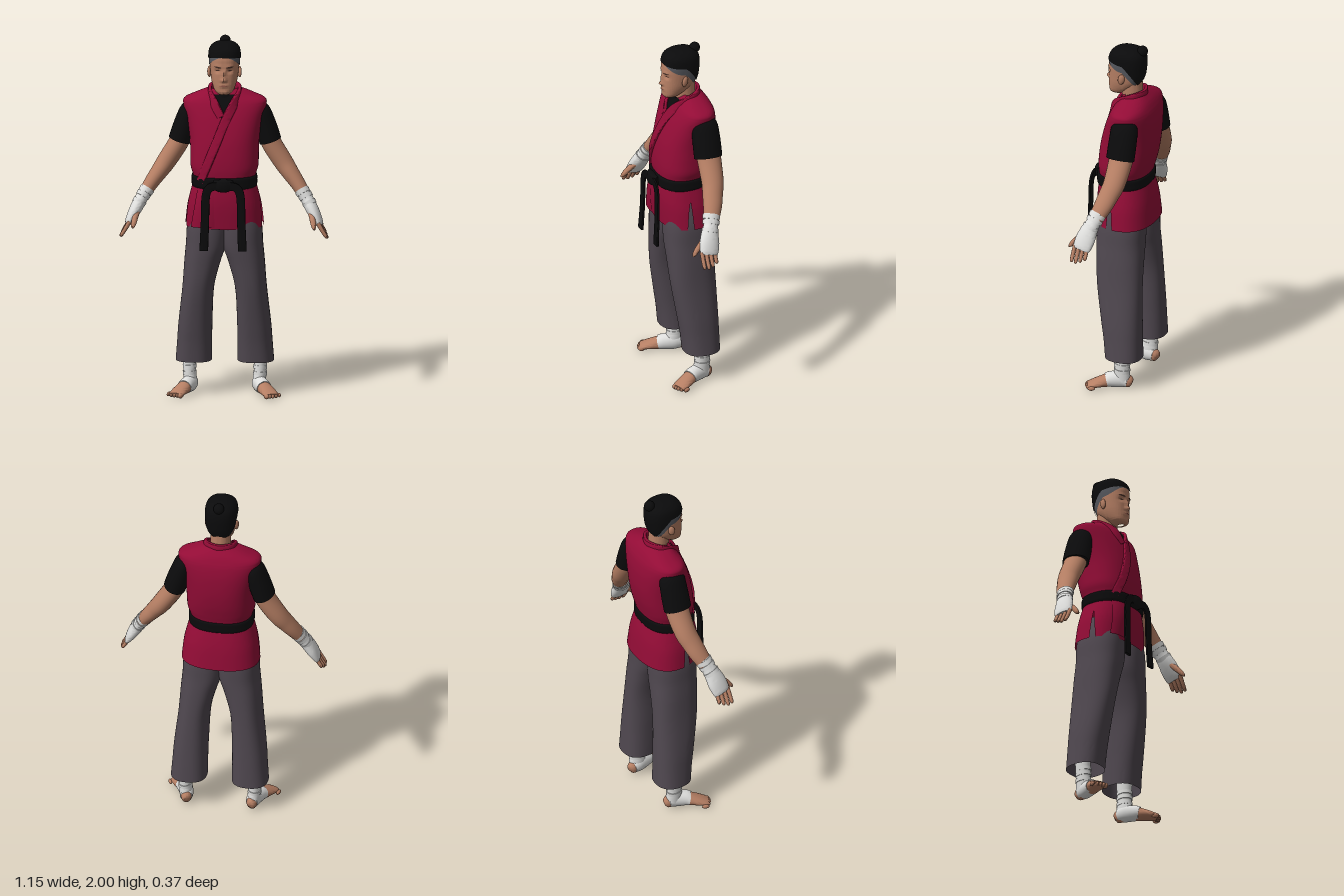
import * as THREE from 'three';
import { toCreasedNormals } from 'three/addons/utils/BufferGeometryUtils.js';

const V = (x, y, z) => new THREE.Vector3(x, y, z);
const lerp = THREE.MathUtils.lerp, clamp = THREE.MathUtils.clamp;
const mat = (name, color, side = THREE.FrontSide) =>
  Object.assign(new THREE.MeshStandardMaterial({ color, side }), { name });

// Smooth interpolation through rows of numbers, t in 0..1
function mix(rows, t) {
  const n = rows.length - 1, f = clamp(t, 0, 1) * n, i = Math.min(Math.floor(f), n - 1), k = f - i;
  const at = j => rows[clamp(j, 0, n)];
  return rows[0].map((_, c) => {
    const a = at(i - 1)[c], b = at(i)[c], d = at(i + 1)[c], e = at(i + 2)[c];
    return b + 0.5 * k * (d - a + k * (2 * a - 5 * b + 4 * d - e + k * (3 * (b - d) + e - a)));
  });
}

// Grid surface from a function of (u, v)
function grid(fn, nu, nv, crease = 1) {
  const g = new THREE.PlaneGeometry(1, 1, nu, nv), pos = g.attributes.position;
  for (let j = 0; j <= nv; j++) for (let i = 0; i <= nu; i++) {
    const p = fn(i / nu, j / nv, j);
    pos.setXYZ(j * (nu + 1) + i, p.x, p.y, p.z);
  }
  return toCreasedNormals(g, crease);
}

const pw = (a, p) => Math.sign(a) * Math.abs(a) ** (2 / p);

// Horizontal section point; row = [y, half width, front z, back z, centre x]
function ring([y, rx, zf, zb, cx = 0], a, p) {
  return V(cx + rx * pw(Math.cos(a), p), y, (zf + zb) / 2 + (zf - zb) / 2 * pw(Math.sin(a), p));
}

// Upright body from horizontal sections
function loft(rows, { p = 2.4, n = 48, m = 32, arc = () => [0, Math.PI * 2], mod = q => q } = {}) {
  return grid((u, v) => {
    const [a, b] = arc(v);
    return mod(ring(mix(rows, v), lerp(a, b, u), p));
  }, n, m);
}

// Parameter of a loft at height y, and its front depth at (x, y)
function paramAt(rows, y) {
  let a = 0, b = 1;
  for (let i = 0; i < 24; i++) { const c = (a + b) / 2; if (mix(rows, c)[0] < y) a = c; else b = c; }
  return a;
}
function frontZ(rows, x, y, p = 2.4) {
  const [, rx, zf, zb] = mix(rows, paramAt(rows, y));
  return (zf + zb) / 2 + (zf - zb) / 2 * Math.max(0, 1 - Math.abs(x / rx) ** p) ** (1 / p);
}

// Capped limb along a path; row = [x, y, z, radius along ref, radius across]
function sweep(rows, { ref = () => V(0, 0, 1), p = 2, n = 24, m = 24 } = {}) {
  return grid((u, v, j) => {
    const t = clamp((j - 1) / m, 0, 1), r = mix(rows, t), c = V(...r);
    const k = j === 0 || j === m + 2 ? 0 : 1;
    const dir = V(...mix(rows, t + 0.01)).sub(V(...mix(rows, t - 0.01))).normalize();
    const A = ref(c); A.addScaledVector(dir, -A.dot(dir)).normalize();
    const B = dir.clone().cross(A), a = u * Math.PI * 2;
    return c.addScaledVector(B, k * r[4] * pw(Math.cos(a), p)).addScaledVector(A, k * r[3] * pw(Math.sin(a), p));
  }, n, m + 2);
}

const torso = [[1.18, .168, .13, -.14], [1.24, .172, .133, -.145], [1.29, .186, .135, -.158], [1.36, .188, .13, -.175],
  [1.45, .192, .115, -.187], [1.55, .21, .085, -.188], [1.62, .228, .055, -.178], [1.655, .222, .035, -.165],
  [1.682, .165, .015, -.15], [1.705, .11, 0, -.13], [1.715, .08, -.01, -.12]];
const skirt = [[.955, .216, .13, -.182], [1.06, .205, .138, -.172], [1.13, .19, .138, -.16], [1.21, .168, .13, -.14]];
const head = [[1.7, .012, .07, .03], [1.704, .032, .082, .012], [1.72, .05, .09, -.01], [1.745, .062, .092, -.05],
  [1.78, .072, .092, -.085], [1.82, .077, .091, -.102], [1.86, .08, .091, -.108], [1.9, .081, .09, -.111],
  [1.935, .075, .078, -.105], [1.96, .054, .05, -.082], [1.972, .026, .018, -.05], [1.975, 0, -.015, -.016]];

// Facial relief: [x, y, spread x, spread y, depth]
const relief = [[0, 1.822, .011, .022, .014], [0, 1.788, .014, .012, .022], [0, 1.755, .022, .009, .007],
  [0, 1.715, .02, .012, .004], ...[1, -1].flatMap(s => [[s * .034, 1.838, .016, .011, -.01], [s * .03, 1.862, .025, .008, .004]])];
const bump = (x, y) => relief.reduce((h, [a, b, sx, sy, d]) =>
  h + d * Math.exp(-(((x - a) / sx) ** 2) - ((y - b) / sy) ** 2), 0);

export function createModel() {
  const model = new THREE.Group();
  const red = mat('crimson cloth', 0x930c36, THREE.DoubleSide), grey = mat('charcoal trousers', 0x504850, THREE.DoubleSide);
  const black = mat('black cloth and hair', 0x0b0b0c), skin = mat('skin', 0xb67f64), white = mat('white wraps', 0xdededc);
  const shaved = mat('shaved hair', 0x55575d), brown = mat('dark brow', 0x4a3128), lip = mat('lips', 0x92594b);
  const add = (name, geo, m, x = 0, y = 0, z = 0) => {
    const o = new THREE.Mesh(geo, m);
    o.name = name; o.position.set(x, y, z); model.add(o);
    return o;
  };

  // Head with thin plates for the features
  add('head', loft(head, { n: 96, m: 72, mod: q => { if (q.z > .02) q.z += bump(q.x, q.y); return q; } }), skin);
  const plate = (name, x0, x1, y, h, m, tilt = 0) => add(name, grid((u, v) => {
    const x = lerp(x0, x1, u), yy = y + tilt * (u - .5) + h * (.5 - v) * Math.sin(Math.PI * lerp(.1, .9, u));
    return V(x, yy, frontZ(head, x, yy) + bump(x, yy) + .002);
  }, 12, 3), m);
  for (const s of [1, -1]) {
    const span = (a, b) => s > 0 ? [a, b] : [-b, -a];
    plate('eyebrow', ...span(.014, .054), 1.859, .009, brown, s * .004);
    plate('eye', ...span(.022, .046), 1.839, .007, brown);
    const ear = add('ear', new THREE.SphereGeometry(1, 16, 12), skin, s * .083, 1.815, -.008);
    ear.scale.set(.011, .031, .019); ear.rotation.set(-.15, s * .3, 0);
  }
  plate('mouth', -.025, .025, 1.755, .008, lip);

  // Hair: cap with a sloping hairline, shaved sides and a topknot
  const hairCap = (name, grow, drop, m) => {
    const last = head.length - 1;
    const rows = head.map(([y, rx, zf, zb], i) => i === last ? [y + grow, rx, zf, zb]
      : [y + (i > 7 ? grow : 0), rx + grow, zf + grow * .6, zb - grow]);
    add(name, grid((u, v) => {
      const a = u * Math.PI * 2, s = Math.sin(a);
      const y = 1.895 + (s > 0 ? .017 : .13) * s - drop * Math.cos(a) ** 2;
      return ring(mix(rows, lerp(paramAt(rows, y), 1, v)), a, 2.4);
    }, 64, 24), m);
  };
  hairCap('hair', .009, 0, black);
  hairCap('shavedSides', .004, .04, shaved);
  add('topknot', new THREE.SphereGeometry(.03, 24, 16), black, 0, 1.97, -.1);
  const tie = add('topknotTie', new THREE.CylinderGeometry(.018, .026, .04, 16), black, 0, 1.951, -.08);
  tie.rotation.x = -.6;

  // Neck and undershirt
  add('neck', loft([[1.6, .06, .02, -.1], [1.69, .056, .016, -.1], [1.8, .058, .03, -.095]], { m: 8, p: 2 }), skin);
  add('undershirtNeck', loft([[1.6, .075, .034, -.115], [1.65, .072, .03, -.112], [1.69, .064, .021, -.106]], { m: 8, p: 2 }), black);
  add('undershirtFront', grid((u, v) => {
    const y = lerp(1.69, 1.55, v), x = lerp(-1, 1, u) * lerp(.062, .006, v);
    return V(x, y, frontZ(torso, x, y) + .004);
  }, 12, 12), black);

  // Vest with crossed lapels running round the neck as a collar
  add('vest', loft(torso, { n: 64, m: 48 }), red);
  const onChest = (x, y) => [x, y, frontZ(torso, x, y) + .003, .01, .025];
  add('collarAndLapels', sweep([onChest(-.125, 1.22), onChest(-.08, 1.34), onChest(-.035, 1.45), onChest(.01, 1.56),
    onChest(.055, 1.645), [.084, 1.69, -.025, .01, .025], [.07, 1.712, -.085, .01, .026], [0, 1.715, -.115, .01, .026],
    [-.07, 1.712, -.085, .01, .026], [-.084, 1.69, -.025, .01, .025], onChest(-.055, 1.645),
    [-.016, 1.575, frontZ(torso, -.016, 1.575) - .001, .009, .02]],
  { ref: c => V(c.x, 0, c.z + .07).normalize(), p: 6, n: 32, m: 88 }), red);

  // Skirt of the vest, slit at both sides, with an overlapping corner
  const gap = v => .3 * (1 - v) ** 1.3;
  add('skirtFront', loft(skirt, { arc: v => [gap(v), Math.PI - gap(v)] }), red);
  add('skirtBack', loft(skirt, { arc: () => [Math.PI - .08, Math.PI * 2 + .08] }), red);
  add('skirtFlap', grid((u, v) => {
    const x = lerp(lerp(-.14, -.18, v), -.05, u), y = lerp(1.2, .965, v);
    return V(x, y, frontZ(skirt, x, y) + .004 + .03 * v * (1 - u));
  }, 12, 12), red);

  // Belt, knot and hanging tails
  add('belt', loft([[1.178, .16, .125, -.13], [1.183, .178, .142, -.15], [1.212, .18, .145, -.152],
    [1.24, .178, .143, -.151], [1.246, .16, .125, -.135]], { m: 16 }), black);
  add('beltKnot', sweep([[-.055, 1.215, .142, .014, .022], [-.02, 1.208, .152, .024, .034],
    [.02, 1.208, .152, .024, .034], [.055, 1.215, .142, .014, .022]], { p: 3 }), black);

  for (const s of [1, -1]) {
    const limb = (name, rows, m, opt) => add(name, sweep(rows.map(([x, ...r]) => [x * s, ...r]), opt), m);

    limb('beltTail', [[.02, 1.205, .162, .007, .022], [.07, 1.2, .165, .007, .023], [.095, 1.15, .166, .007, .023],
      [.1, 1.0, .168, .007, .023], [.106, .846, .176, .008, .024]], black, { p: 6, m: 32 });

    // Trouser leg
    add('trouserLeg', loft([[.185, .1, .038, -.166, .17], [.29, .096, .05, -.163, .166], [.4, .093, .068, -.16, .161],
      [.6, .087, .1, -.155, .145], [.75, .1, .112, -.152, .121], [.85, .112, .118, -.15, .1],
      [.97, .113, .118, -.15, .09], [1.1, .09, .1, -.13, .075]].map(r => [...r.slice(0, 4), r[4] * s])), grey);

    // Sleeve and bare arm
    limb('sleeve', [[.17, 1.625, -.075, .04, .02], [.19, 1.59, -.076, .072, .052], [.218, 1.51, -.076, .079, .061],
      [.249, 1.415, -.074, .08, .062]], black);
    limb('arm', [[.225, 1.49, -.078, .068, .052], [.25, 1.41, -.078, .068, .055], [.318, 1.3, -.07, .062, .053],
      [.36, 1.24, -.053, .057, .047], [.4, 1.185, -.035, .052, .041], [.45, 1.11, -.004, .04, .033]], skin);

    // Wrapped wrist and palm with overlapping bands
    limb('handWrap', [[.422, 1.153, -.02, .047, .038], [.453, 1.105, -.002, .041, .035], [.478, 1.06, .015, .05, .035],
      [.5, 1.02, .026, .056, .031], [.521, .98, .036, .053, .023], [.529, .965, .04, .046, .016]], white);
    [[.424, 1.15, -.018], [.44, 1.127, -.01], [.462, 1.09, .005]].forEach(([x, y, z], i) =>
      limb('wristBand', [[x, y, z, .049 - i * .001, .041 - i * .001],
        [x + .012, y - .019, z + .007, .047 - i * .001, .039 - i * .001]], white, { m: 4 }));

    // Fingers and thumb
    for (let i = 0; i < 4; i++) {
      const z = .004 + i * .025, len = [.8, .95, 1.05, 1][i];
      limb('finger', [[.517, .985, z, .012, .012], [.517 + .026 * len, .985 - .045 * len, z + .002, .011, .011],
        [.517 + .045 * len, .985 - .075 * len, z + .002, .01, .009], [.517 + .05 * len, .985 - .084 * len, z + .002, .004, .004]],
      skin, { n: 12, m: 12 });
    }
    limb('thumb', [[.48, 1.035, .05, .018, .016], [.489, 1.0, .088, .016, .015], [.496, .972, .112, .013, .012],
      [.5, .958, .124, .005, .005]], skin, { ref: () => V(1, 0, 0), n: 16, m: 12 });

    // Bare foot with toes, wrapped ankle and instep
    const up = { ref: () => V(0, 1, 0) };
    limb('foot', [[.178, .036, -.116, .012, .012], [.181, .04, -.104, .033, .026], [.188, .05, -.055, .045, .035],
      [.208, .046, 0, .04, .038], [.237, .034, .055, .028, .044], [.258, .023, .095, .018, .044], [.266, .019, .113, .012, .038]], skin, up);
    for (let i = 0; i < 5; i++) {
      const toe = add('toe', new THREE.SphereGeometry(1, 12, 10), skin,
        s * (.236 + i * .0165), .016, .116 - i * i * .0025);
      toe.scale.set(i ? .0095 : .014, i ? .012 : .015, .021); toe.rotation.y = s * .4;
    }
    limb('footWrap', [[.183, .046, -.092, .038, .034], [.188, .052, -.055, .048, .039], [.208, .049, 0, .044, .042],
      [.219, .044, .022, .038, .043]], white, up);
    limb('ankleWrap', [[.189, .05, -.058, .05, .036], [.191, .09, -.06, .046, .036], [.194, .13, -.062, .042, .035],
      [.196, .25, -.064, .046, .04]], white);
    for (const y of [.1, .135, .165])
      limb('ankleBand', [[.193, y, -.061, .046, .038], [.194, y + .02, -.062, .046, .038]], white, { m: 4 });
  }
  return model;
}
